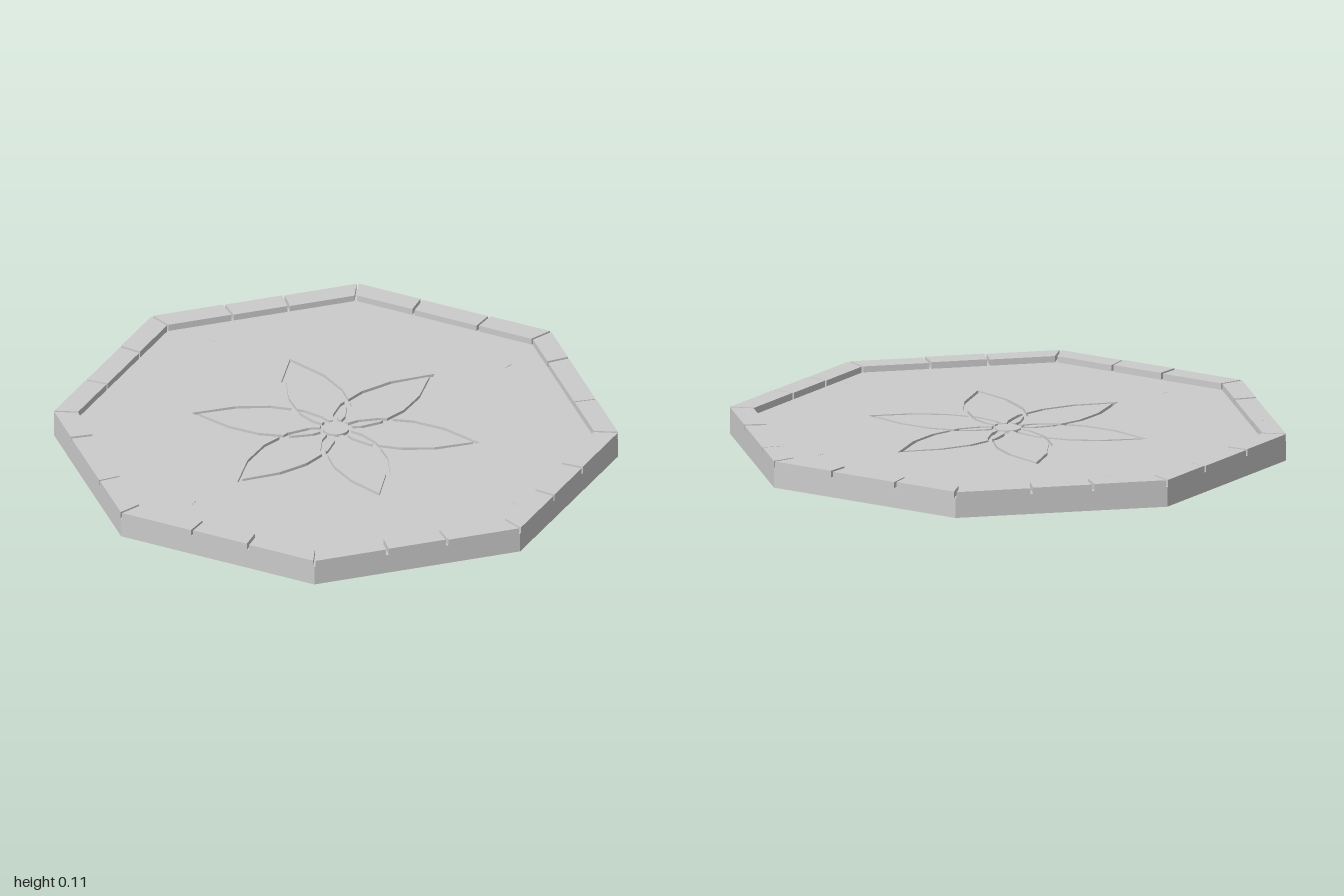
import * as THREE from 'three';

const GROOVE_Y = 0.066, FLOOR_Y = 0.078, TOP_Y = 0.105;
const TAN = Math.tan(Math.PI / 8);

const vecs = (pts) => pts.map(([x, y]) => new THREE.Vector2(x, y));
const turn = (pts, a) => pts.map(([x, y]) => [
  x * Math.cos(a) - y * Math.sin(a), x * Math.sin(a) + y * Math.cos(a)]);
// closes a half outline by mirroring it over its long axis
const mirrored = (half) => [
  ...half, ...half.slice().reverse().filter((p) => p[1] !== 0).map(([x, y]) => [x, -y])];

// flat outline extruded upwards from y0 to y1
function slab(shape, y0, y1) {
  const g = new THREE.ExtrudeGeometry(shape, { depth: y1 - y0, bevelEnabled: false, curveSegments: 24 });
  g.rotateX(-Math.PI / 2);
  g.translate(0, y0, 0);
  return g;
}

export function createModel() {
  const group = new THREE.Group();
  const stone = new THREE.MeshStandardMaterial({ color: 0xcccccc });
  stone.name = 'grey stone';
  const add = (name, geometry, parent = group) => {
    const mesh = new THREE.Mesh(geometry, stone);
    mesh.name = name;
    parent.add(mesh);
    return mesh;
  };

  const octagon = [];
  for (let i = 0; i < 8; i++) {
    const a = (i + 0.5) * Math.PI / 4, r = 1 / Math.cos(Math.PI / 8);
    octagon.push([r * Math.cos(a), r * Math.sin(a)]);
  }

  // base slab, also the bottom of the carved grooves
  add('base', slab(new THREE.Shape(vecs(octagon)), 0, GROOVE_Y));

  // floor plate with the flower and a few hairline cracks cut out
  const floor = new THREE.Shape(vecs(octagon));
  const outerHalf = [[0.197, 0.114], [0.28, 0.117], [0.41, 0.085], [0.565, 0]];
  const flower = [];
  for (let i = 0; i < 6; i++) {
    const petal = mirrored(outerHalf).reverse().slice(0, -1);
    flower.push(...turn(petal, Math.PI / 6 + i * Math.PI / 3));
  }
  floor.holes.push(new THREE.Path(vecs(flower)));
  const cracks = [
    [-0.245, 0.805, -0.225, 0.765], [0.755, 0.24, 0.8, 0.265],
    [-0.715, -0.4, -0.675, -0.365], [0.455, -0.75, 0.48, -0.8]];
  for (const [x0, y0, x1, y1] of cracks) {
    floor.holes.push(new THREE.Path(vecs([
      [x0, y0], [(x0 + x1) / 2 + 0.003, (y0 + y1) / 2 + 0.003], [x1, y1],
      [(x0 + x1) / 2 + 0.001, (y0 + y1) / 2 - 0.001]])));
  }
  add('floor', slab(floor, GROOVE_Y, FLOOR_Y));

  // fields left standing between the flower grooves
  const petalField = mirrored([
    [0.061, 0.008], [0.1026, 0.0216], [0.172, 0.074], [0.1855, 0.0953],
    [0.28, 0.099], [0.4, 0.07], [0.535, 0]]);
  const lensField = mirrored([[0.065, 0.008], [0.096, 0.016], [0.177, 0.006], [0.189, 0]]);
  for (let i = 0; i < 6; i++) {
    const a = i * Math.PI / 3;
    add('petal', slab(new THREE.Shape(vecs(turn(petalField, a + Math.PI / 6))), GROOVE_Y, FLOOR_Y));
    add('petalOverlap', slab(new THREE.Shape(vecs(turn(lensField, a))), GROOVE_Y, FLOOR_Y));
  }
  const disc = new THREE.Shape();
  disc.absarc(0, 0, 0.05, 0, Math.PI * 2);
  add('flowerCentre', slab(disc, GROOVE_Y, FLOOR_Y));

  // raised rim: three blocks per side, parted by narrow slightly skewed joints
  const inner = 0.915, gap = 0.005;
  const joints = [
    [-0.125, 0.115], [-0.14, 0.15], [-0.15, 0.2], [-0.13, 0.11],
    [-0.12, 0.12], [-0.11, 0.13], [-0.2, 0.14], [-0.14, 0.15]];
  for (let s = 0; s < 8; s++) {
    const side = new THREE.Group();
    side.name = 'rimSide';
    side.rotation.y = s * Math.PI / 4;
    const [j0, j1] = joints[s];
    // each edge holds the outer and the inner end of a joint
    const edges = [[-TAN, -TAN * inner], [j0, j0 + 0.008], [j1, j1 - 0.006], [TAN, TAN * inner]];
    for (let b = 0; b < 3; b++) {
      const [l, r] = [edges[b], edges[b + 1]];
      const block = new THREE.Shape(vecs([
        [l[1] + gap, inner], [r[1] - gap, inner], [r[0] - gap, 1], [l[0] + gap, 1]]));
      const dip = ((s * 3 + b) * 7 % 5) * 0.0008;
      add('rimBlock', slab(block, FLOOR_Y, TOP_Y - dip), side);
    }
    group.add(side);
  }
  return group;
}
